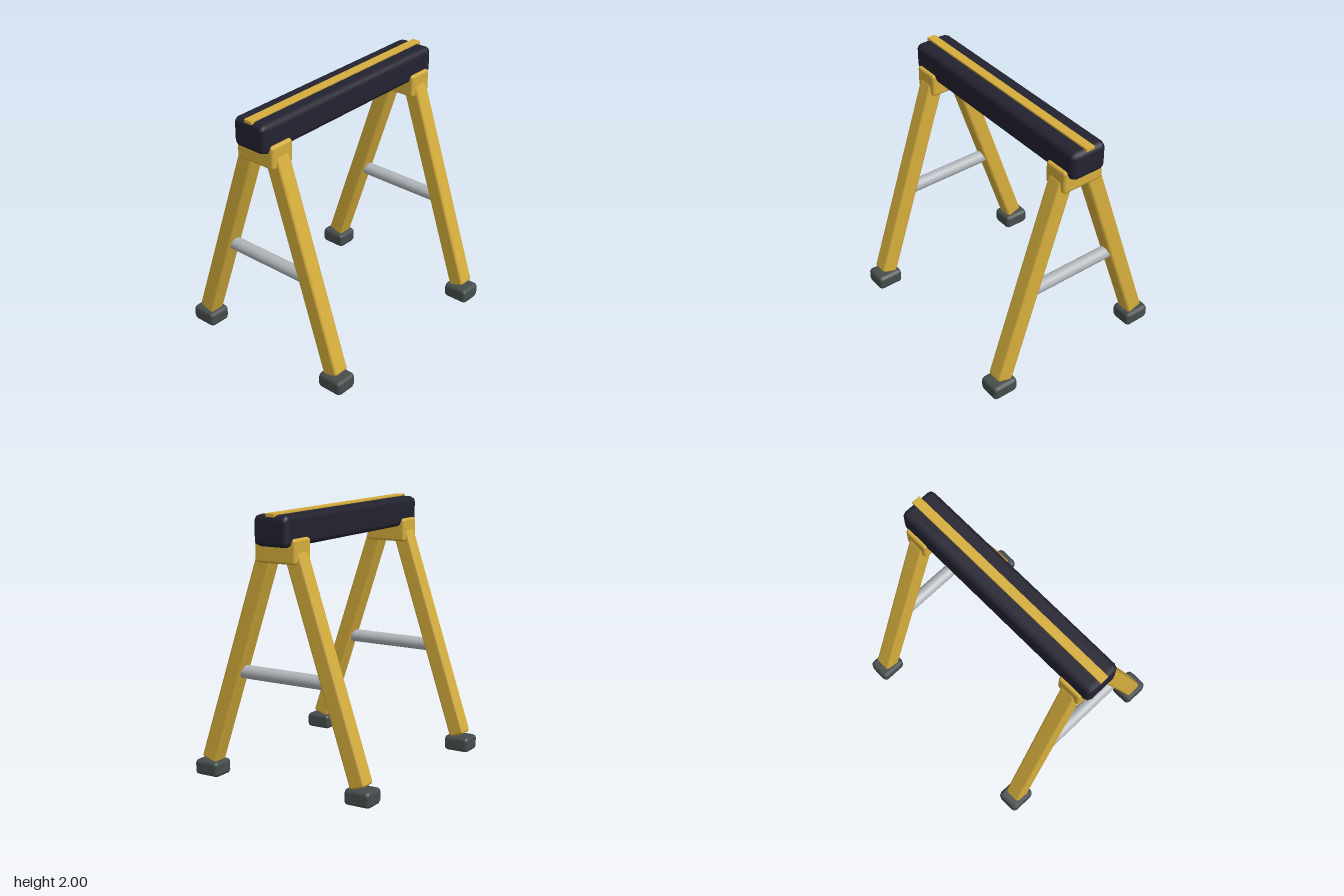
import * as THREE from 'three';
import { RoundedBoxGeometry } from 'three/addons/geometries/RoundedBoxGeometry.js';

const mat = (name, color) => {
  const m = new THREE.MeshStandardMaterial({ color });
  m.name = name;
  return m;
};

export function createModel() {
  const yellow = mat('yellow paint', 0xd6ae3c);
  const dark = mat('dark beam', 0x232230);
  const rubber = mat('grey rubber', 0x454d4c);
  const steel = mat('steel', 0xb2b6ba);

  const model = new THREE.Group();
  model.name = 'sawhorse';

  const add = (parent, name, geometry, material, x, y, z) => {
    const mesh = new THREE.Mesh(geometry, material);
    mesh.name = name;
    mesh.position.set(x, y, z);
    parent.add(mesh);
    return mesh;
  };
  // Box with a single softened chamfer on every edge
  const block = (w, h, d, r) => new RoundedBoxGeometry(w, h, d, 1, r);

  // Top beam and its guide strip
  add(model, 'beam', block(1.85, 0.222, 0.29, 0.042), dark, 0, 1.876, 0);
  add(model, 'topStrip', block(1.85, 0.026, 0.07, 0.003), yellow, 0, 1.987, 0);

  // Leg axis in the side plane, from bottom to top
  const bottom = new THREE.Vector2(0.643, 0.125);
  const top = new THREE.Vector2(0.11, 1.72);
  const length = bottom.distanceTo(top);
  const tilt = Math.atan2(bottom.x - top.x, top.y - bottom.y);

  const bracketGeo = block(0.205, 0.18, 0.342, 0.022);
  const legGeo = block(0.13, length, 0.13, 0.02);
  const footGeo = block(0.182, 0.12, 0.21, 0.03);
  const barGeo = new THREE.CylinderGeometry(0.05, 0.05, 0.8, 24);

  for (const side of [-1, 1]) {
    const frame = new THREE.Group();
    frame.name = side > 0 ? 'leftFrame' : 'rightFrame';
    frame.position.x = side * 0.768;
    model.add(frame);

    add(frame, 'bracket', bracketGeo, yellow, 0, 1.736, 0);
    add(frame, 'crossbar', barGeo, steel, 0, 0.825, 0).rotation.x = Math.PI / 2;

    // Splayed front and back legs with feet
    for (const end of [-1, 1]) {
      const label = end > 0 ? 'front' : 'back';
      const leg = add(frame, label + 'Leg', legGeo, yellow,
        0, (bottom.y + top.y) / 2, end * (bottom.x + top.x) / 2);
      leg.rotation.x = -end * tilt;
      add(frame, label + 'Foot', footGeo, rubber, 0, 0.06, end * 0.65);
    }
  }
  return model;
}
